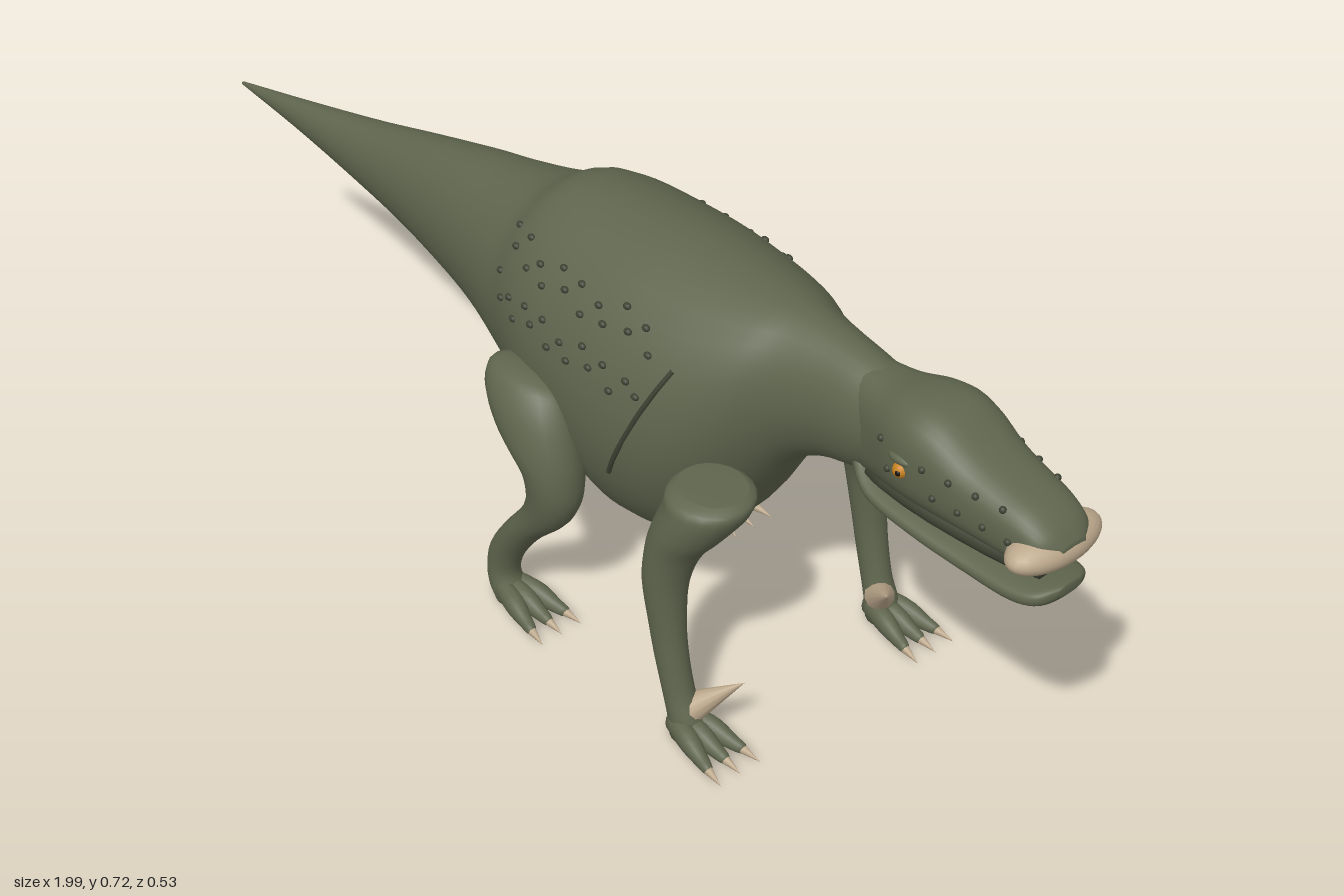
import * as THREE from 'three';

const mat = (name, color) => Object.assign(new THREE.MeshStandardMaterial({ color }), { name });

// Smoothly resample rows of numbers (uniform Catmull-Rom per column)
function resample(rows, n) {
  const at = (i) => rows[Math.min(rows.length - 1, Math.max(0, i))];
  const out = [];
  for (let k = 0; k <= n; k++) {
    const u = (k / n) * (rows.length - 1);
    const i = Math.min(rows.length - 2, Math.floor(u)), t = u - i;
    out.push(rows[i].map((_, c) => {
      const a = at(i - 1)[c], b = at(i)[c], d = at(i + 1)[c], e = at(i + 2)[c];
      return 0.5 * (2 * b + (d - a) * t + (2 * a - 5 * b + 4 * d - e) * t * t + (3 * b - a - 3 * d + e) * t * t * t);
    }));
  }
  return out;
}

// Skin a list of closed rings, with a fan at each end
function loft(rings) {
  const n = rings[0].length, pos = [], idx = [];
  rings.forEach((r) => r.forEach((p) => pos.push(...p)));
  for (let i = 0; i < rings.length - 1; i++) {
    for (let j = 0; j < n; j++) {
      const a = i * n + j, b = i * n + (j + 1) % n;
      idx.push(a, b, a + n, b, b + n, a + n);
    }
  }
  [0, rings.length - 1].forEach((i) => {
    const c = pos.length / 3;
    pos.push(...[0, 1, 2].map((k) => rings[i].reduce((s, p) => s + p[k], 0) / n));
    for (let j = 0; j < n; j++) {
      const a = i * n + j, b = i * n + (j + 1) % n;
      if (i === 0) idx.push(c, b, a); else idx.push(c, a, b);
    }
  });
  const g = new THREE.BufferGeometry();
  g.setAttribute('position', new THREE.Float32BufferAttribute(pos, 3));
  g.setIndex(idx);
  g.computeVertexNormals();
  return g;
}

const bend = (v, p) => Math.sign(v) * Math.abs(v) ** p;
const circle = (n, fn) => Array.from({ length: n }, (_, j) => fn((j / n) * Math.PI * 2));

// Loft along x from rows [x, bottom, top, halfWidth]; p below 1 makes it boxier
const loftX = (rows, steps, p = 1, z = 0, sides = 32) => loft(resample(rows, steps).map(([x, b, t, w]) =>
  circle(sides, (a) => [x, (b + t) / 2 + (t - b) / 2 * bend(Math.cos(a), p), z + w * bend(Math.sin(a), p)])));

// Loft downwards from rows [x, y, z, radiusX, radiusZ]
const loftDown = (rows, steps, side) => loft(resample(rows, steps).map(([x, y, z, rx, rz]) =>
  circle(20, (a) => [x + rx * Math.cos(a), y, side * z + rz * Math.sin(a)])));

// Point on the side of an x loft at a given x and y
function onSurface(rows, x, y, side, p = 1) {
  const s = resample(rows, 200);
  const [, b, t, w] = s.reduce((m, r) => (Math.abs(r[0] - x) < Math.abs(m[0] - x) ? r : m));
  const c = Math.min(1, Math.abs((y - (b + t) / 2) / ((t - b) / 2))) ** (1 / p);
  return new THREE.Vector3(x, y, side * w * Math.sqrt(1 - c * c) ** p);
}

const BODY = [
  [-1, 0.447, 0.453, 0.003], [-0.8, 0.436, 0.498, 0.025], [-0.6, 0.418, 0.545, 0.05], [-0.45, 0.398, 0.585, 0.07],
  [-0.3, 0.37, 0.622, 0.097], [-0.2, 0.348, 0.642, 0.12], [-0.1, 0.31, 0.668, 0.15], [-0.04, 0.287, 0.7, 0.172],
  [0.02, 0.262, 0.711, 0.19], [0.1, 0.226, 0.715, 0.203], [0.2, 0.197, 0.718, 0.208], [0.29, 0.213, 0.715, 0.197],
  [0.36, 0.27, 0.712, 0.172], [0.42, 0.365, 0.709, 0.135], [0.47, 0.44, 0.706, 0.095], [0.53, 0.482, 0.7, 0.074],
  [0.6, 0.502, 0.69, 0.064], [0.68, 0.53, 0.67, 0.055],
];
const HEAD = [
  [0.6, 0.515, 0.685, 0.05], [0.65, 0.522, 0.686, 0.063], [0.7, 0.53, 0.697, 0.079], [0.74, 0.533, 0.7, 0.084],
  [0.78, 0.534, 0.69, 0.081], [0.83, 0.536, 0.662, 0.074], [0.88, 0.537, 0.646, 0.068], [0.93, 0.537, 0.632, 0.062],
  [0.965, 0.542, 0.612, 0.052], [0.985, 0.56, 0.59, 0.025],
];
const JAW = [
  [0.61, 0.515, 0.56, 0.045], [0.66, 0.497, 0.532, 0.067], [0.75, 0.485, 0.522, 0.07], [0.85, 0.479, 0.516, 0.066],
  [0.93, 0.479, 0.517, 0.063], [0.97, 0.488, 0.522, 0.05], [0.987, 0.506, 0.524, 0.02],
];
const MOUTH = [[0.64, 0.505, 0.56, 0.05], [0.75, 0.505, 0.555, 0.055], [0.88, 0.505, 0.555, 0.045], [0.95, 0.51, 0.555, 0.03]];
const HIND_LEG = [
  [0.06, 0.478, 0.2, 0.025, 0.015], [0.06, 0.466, 0.2, 0.072, 0.04], [0.075, 0.43, 0.206, 0.086, 0.054],
  [0.105, 0.38, 0.21, 0.076, 0.057], [0.138, 0.33, 0.212, 0.053, 0.05], [0.142, 0.28, 0.213, 0.047, 0.043],
  [0.12, 0.23, 0.213, 0.043, 0.037], [0.068, 0.17, 0.213, 0.036, 0.032], [0.026, 0.11, 0.213, 0.033, 0.028],
  [0.01, 0.06, 0.213, 0.03, 0.026], [0.02, 0.025, 0.213, 0.034, 0.028], [0.03, 0.003, 0.213, 0.03, 0.026],
];
const FORE_LEG = [
  [0.45, 0.458, 0.165, 0.055, 0.05], [0.452, 0.447, 0.17, 0.068, 0.068], [0.45, 0.425, 0.177, 0.066, 0.068],
  [0.433, 0.385, 0.192, 0.058, 0.058], [0.413, 0.34, 0.204, 0.045, 0.047], [0.405, 0.28, 0.214, 0.036, 0.037],
  [0.413, 0.2, 0.216, 0.03, 0.029], [0.424, 0.14, 0.216, 0.028, 0.026], [0.44, 0.08, 0.215, 0.027, 0.025],
  [0.455, 0.04, 0.214, 0.03, 0.027], [0.462, 0.003, 0.214, 0.03, 0.027],
];

export function createModel() {
  const model = new THREE.Group();
  const skin = mat('mossSkin', 0x5f654e), dark = mat('darkScale', 0x3e4334);
  const horn = mat('paleHorn', 0xbba78b), amber = mat('amberEye', 0xc8821f), black = mat('pupilBlack', 0x15130f);

  const add = (name, geo, material, parent = model) => {
    const m = new THREE.Mesh(geo, material);
    m.name = name;
    parent.add(m);
    return m;
  };
  const ball = (name, material, at, r, sx = 1, sy = 1, sz = 1, seg = 8) => {
    const m = add(name, new THREE.SphereGeometry(r, seg * 2, seg), material);
    m.position.set(...at);
    m.scale.set(sx, sy, sz);
  };
  // Cone whose base sits at a and whose point is at b
  const spike = (name, a, b, r, parent) => {
    const from = new THREE.Vector3(...a), dir = new THREE.Vector3(...b).sub(from);
    const m = add(name, new THREE.ConeGeometry(r, dir.length(), 12), horn, parent);
    m.position.copy(from).addScaledVector(dir, 0.5);
    m.quaternion.setFromUnitVectors(new THREE.Vector3(0, 1, 0), dir.normalize());
  };

  // Body with tail and neck, then the head
  add('bodyAndTail', loftX(BODY, 90), skin);
  add('head', loftX(HEAD, 40, 0.75), skin);
  add('lowerJaw', loftX(JAW, 30, 0.8), skin);
  add('mouthInside', loftX(MOUTH, 8), dark);
  ball('noseHorn', horn, [0.948, 0.572, 0], 1, 0.042, 0.031, 0.088, 16);

  // Three toes with claws
  const foot = (x, z, side, leg) => [-1, 0, 1].forEach((k) => {
    const zt = side * z + k * 0.035, z0 = side * z + k * 0.016, tip = x + 0.088;
    const toe = loftX([[x - 0.02, 0.004, 0.045, 0.014], [x + 0.03, 0.002, 0.042, 0.018],
      [x + 0.07, 0.001, 0.026, 0.012], [tip, 0.002, 0.02, 0.009], [tip + 0.007, 0.007, 0.014, 0.003]], 14, 1, 0, 12);
    const p = toe.attributes.position;
    for (let i = 0; i < p.count; i++) {
      const t = (p.getX(i) - x) / 0.088;
      p.setZ(i, p.getZ(i) + z0 + (zt - z0) * t);
    }
    toe.computeVertexNormals();
    add('toe', toe, skin, leg);
    spike('claw', [tip - 0.005, 0.011, zt], [tip + 0.036, 0.004, zt + k * 0.006], 0.009, leg);
  });

  for (const s of [1, -1]) {
    const side = s > 0 ? 'near' : 'far';
    // Legs and feet
    const hind = new THREE.Group(), fore = new THREE.Group();
    hind.name = side + 'HindLeg';
    fore.name = side + 'ForeLeg';
    model.add(hind, fore);
    add('hindLimb', loftDown(HIND_LEG, 48, s), skin, hind);
    add('foreLimb', loftDown(FORE_LEG, 44, s), skin, fore);
    foot(0.035, 0.213, s, hind);
    foot(0.458, 0.214, s, fore);
    spike('thumbSpike', [0.462, 0.054, s * 0.203], [0.522, 0.114, s * 0.154], 0.025, fore);

    // Eyes, brows and nostrils
    ball('eye', amber, [0.735, 0.61, s * 0.08], 0.0125);
    ball('pupil', black, [0.738, 0.61, s * 0.0895], 0.005, 1, 1, 0.7);
    ball('brow', skin, [0.732, 0.626, s * 0.074], 0.018, 1.4, 0.5, 0.8);
    ball('nostril', dark, [0.925, 0.625, s * 0.025], 0.006, 1.4, 0.6, 1);

    // Scales along the cheek and snout
    for (let i = 0; i < 12; i++) {
      const x = 0.69 + i * 0.021;
      const y = (i % 2 ? 0.6 : 0.637) - i * 0.0012;
      if (Math.abs(x - 0.735) > 0.02) ball('faceScale', dark, onSurface(HEAD, x, y, s, 0.75).toArray(), 0.0055);
    }
    // Rows of flank scales
    [0.64, 0.615, 0.565, 0.54].forEach((y, r) => {
      for (let i = 0; i < 8; i++) {
        const x = -0.06 + i * 0.048 + (r % 2) * 0.022;
        const p = onSurface(BODY, x, y + 0.009 * Math.sin(i * 2.3 + r), s);
        ball('flankScale', dark, p.toArray(), 0.0062, 1.2, 0.9, 0.9);
      }
    });
    // Long scar behind the shoulder
    const scar = Array.from({ length: 9 }, (_, i) => onSurface(BODY, 0.25 + i * 0.0119, 0.38 + i * 0.0275, s));
    add('flankScar', new THREE.TubeGeometry(new THREE.CatmullRomCurve3(scar), 24, 0.004, 6), dark);
  }
  return model;
}
